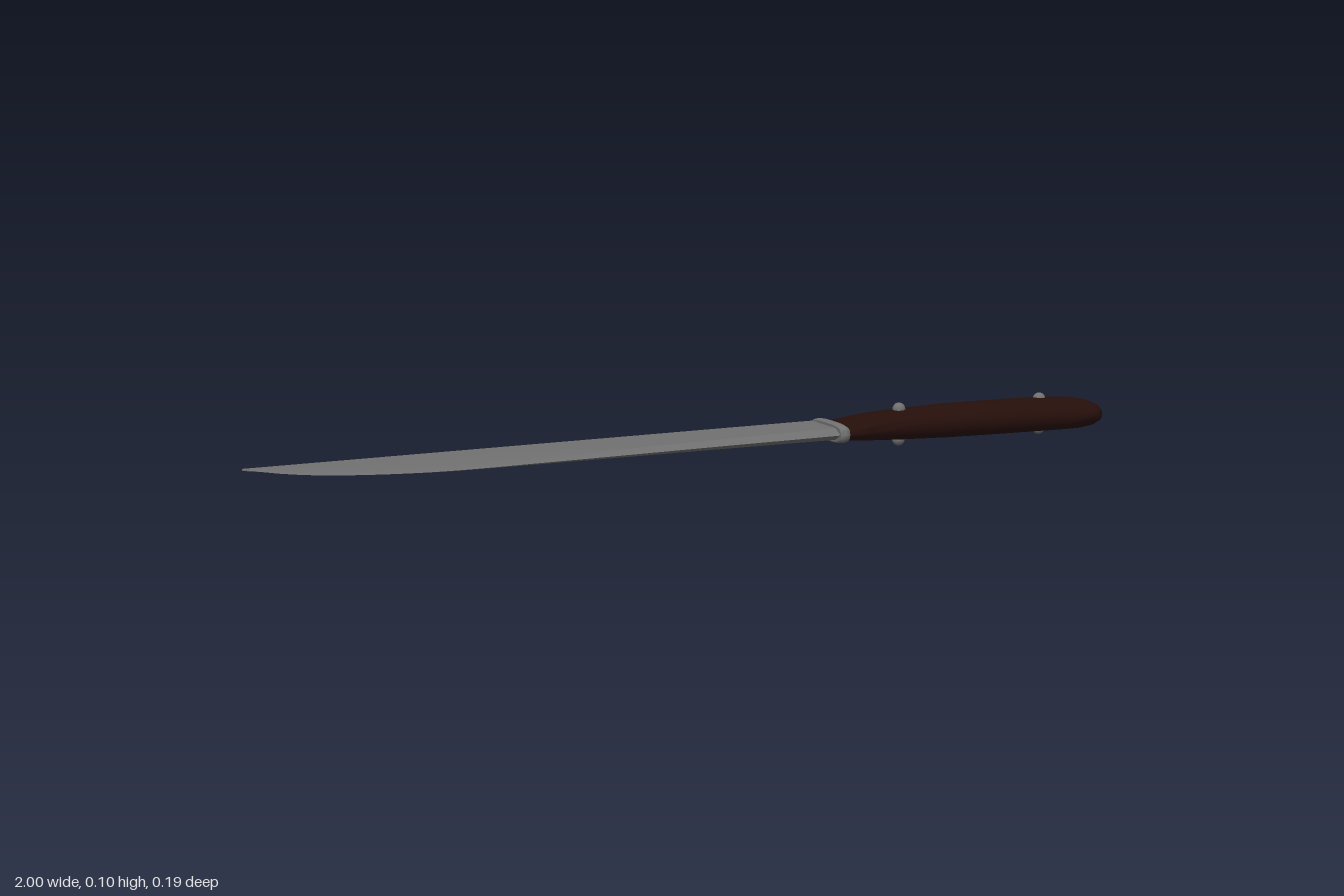
import * as THREE from 'three';
import { toCreasedNormals } from 'three/addons/utils/BufferGeometryUtils.js';

const MID = 0.05; // height of the knife's middle plane

// Skin a list of equal-length rings of [x, y, z], running along +x, with flat end caps
function loft(rings, crease) {
  const n = rings[0].length, last = (rings.length - 1) * n, index = [];
  for (let i = 0; i < rings.length - 1; i++) {
    for (let j = 0; j < n; j++) {
      const a = i * n + j, b = i * n + (j + 1) % n;
      index.push(a, a + n, b + n, a, b + n, b);
    }
  }
  for (let j = 1; j < n - 1; j++) index.push(0, j, j + 1, last, last + j + 1, last + j);
  const geo = new THREE.BufferGeometry();
  geo.setAttribute('position', new THREE.Float32BufferAttribute(rings.flat(2), 3));
  geo.setIndex(index);
  return toCreasedNormals(geo.toNonIndexed(), crease);
}

// Rounded ring at x, from zBack to zFront, with half thickness h
function oval(x, zBack, zFront, h, power = 0.85, sides = 24) {
  const soft = v => Math.sign(v) * Math.abs(v) ** power;
  return Array.from({ length: sides }, (_, j) => {
    const t = j / sides * Math.PI * 2;
    return [x, MID + h * soft(Math.sin(t)),
      (zBack + zFront) / 2 + (zFront - zBack) / 2 * soft(Math.cos(t))];
  });
}

export function createModel() {
  const knife = new THREE.Group();
  knife.name = 'knife';
  const steel = new THREE.MeshStandardMaterial({ color: 0x707070 });
  const wood = new THREE.MeshStandardMaterial({ color: 0x260f0b });
  const add = (name, geo, mat) => {
    const mesh = new THREE.Mesh(geo, mat);
    mesh.name = name;
    knife.add(mesh);
    return mesh;
  };

  // Blade: straight flat spine, bevelled edge, tapering to the tip; [x, edge z]
  const spine = -0.09;
  const edge = [[-1, -0.088], [-0.97, -0.052], [-0.94, -0.018], [-0.9, 0.016], [-0.85, 0.044],
    [-0.79, 0.066], [-0.73, 0.081], [-0.67, 0.091], [-0.61, 0.095], [-0.54, 0.093],
    [-0.3, 0.08], [0, 0.062], [0.3, 0.047]];
  add('blade', loft(edge.map(([x, e]) => {
    const h = 0.002 + 0.0115 * (x + 1) / 1.3;
    const b = e - Math.min(0.024, (e - spine) * 0.4);
    return [[x, MID, e], [x, MID + h, b], [x, MID + h, spine],
      [x, MID - h, spine], [x, MID - h, b]];
  }), 0.25), steel);

  // Handle: [x, back z, front z, half thickness]
  const grip = [[0.29, -0.091, 0.05, 0.018], [0.33, -0.092, 0.048, 0.022], [0.36, -0.093, 0.037, 0.026],
    [0.4, -0.095, 0.027, 0.03], [0.47, -0.098, 0.022, 0.034], [0.6, -0.1, 0.024, 0.038],
    [0.74, -0.099, 0.03, 0.039], [0.85, -0.096, 0.036, 0.039], [0.9, -0.093, 0.045, 0.038],
    [0.94, -0.089, 0.052, 0.036], [0.97, -0.082, 0.051, 0.031], [0.987, -0.073, 0.042, 0.024],
    [0.996, -0.06, 0.025, 0.014], [1, -0.04, 0, 0.006]];
  add('handle', loft(grip.map(s => oval(...s)), 1), wood);

  // Rounded collar between blade and handle
  const collar = [[0.278, 0.004], [0.282, 0.001], [0.289, 0], [0.296, 0.001], [0.301, 0.004]];
  add('collar', loft(collar.map(([x, d]) =>
    oval(x, -0.1 + d, 0.055 - d, 0.023 - d, 0.6)), 0.9), steel);

  // Domed rivets through the handle
  for (const x of [0.475, 0.86]) {
    add('rivet', new THREE.CapsuleGeometry(0.015, 0.07, 6, 16), steel).position.set(x, MID, -0.036);
  }
  return knife;
}
